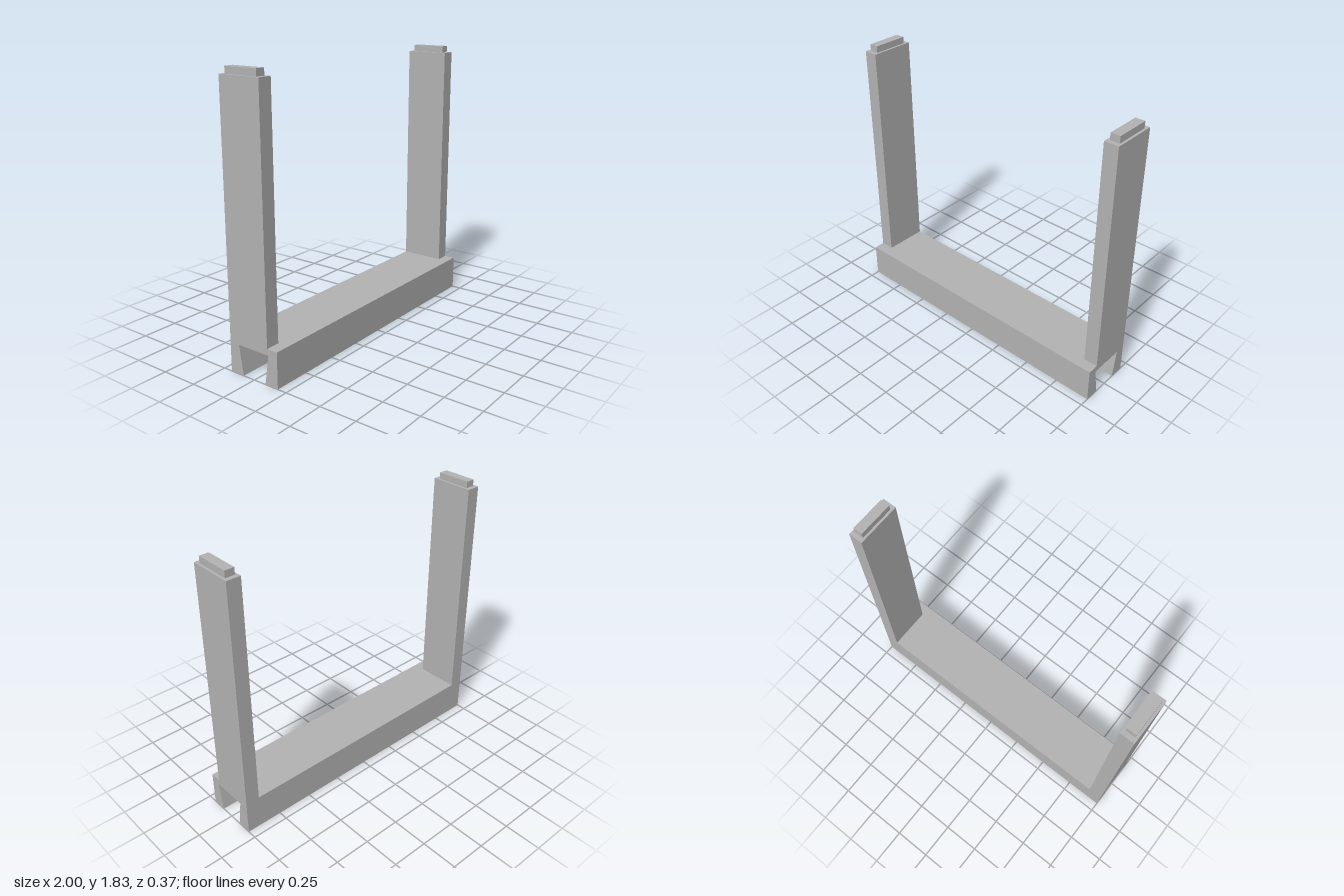
import * as THREE from 'three';

export function createModel() {
  const group = new THREE.Group();
  const grey = new THREE.MeshStandardMaterial({ color: 0xb2b2b2 });
  grey.name = 'grey';

  const add = (name, geometry) => {
    const mesh = new THREE.Mesh(geometry, grey);
    mesh.name = name;
    group.add(mesh);
    return mesh;
  };

  // Base beam: cross-section (z, y) with a dovetail groove underneath, run along x
  const section = new THREE.Shape([
    [-0.187, 0], [-0.087, 0], [-0.117, 0.193], [0.12, 0.193],
    [0.09, 0], [0.187, 0], [0.187, 0.233], [-0.187, 0.233],
  ].map(([z, y]) => new THREE.Vector2(z, y)));
  const beam = new THREE.ExtrudeGeometry(section, { depth: 2, bevelEnabled: false });
  beam.translate(0, 0, -1).rotateY(-Math.PI / 2);
  add('baseBeam', beam);

  // Uprights flush with the back and ends, each topped by a small tenon
  for (const [side, s] of [['left', 1], ['right', -1]]) {
    add(side + 'Post', new THREE.BoxGeometry(0.095, 1.554, 0.299))
      .position.set(s * 0.9525, 1.01, -0.0375);
    add(side + 'Tenon', new THREE.BoxGeometry(0.063, 0.044, 0.237))
      .position.set(s * 0.9525, 1.809, -0.0375);
  }
  return group;
}
